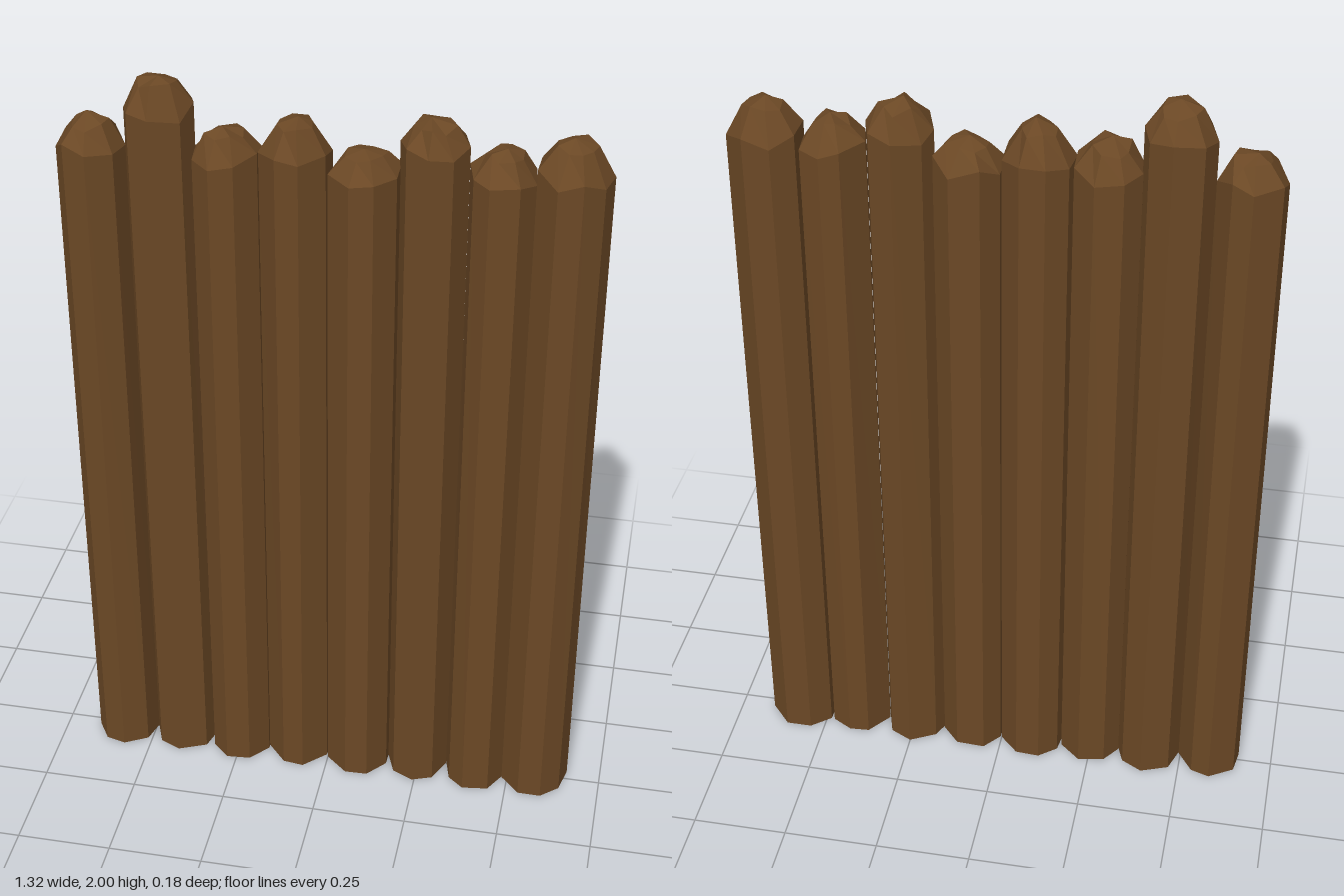
import * as THREE from 'three';

const SIDES = 8;

// Per log: left x, right x, back z, front z, top height, shoulder drop, twist
const LOGS = [
  [-0.66, -0.495, -0.08, 0.09, 1.89, 0.07, 0.15],
  [-0.495, -0.325, -0.093, 0.085, 2.0, 0.08, 0.0],
  [-0.328, -0.168, -0.08, 0.09, 1.89, 0.07, 0.5],
  [-0.17, 0.0, -0.088, 0.085, 1.925, 0.09, 0.3],
  [0.0, 0.165, -0.08, 0.088, 1.86, 0.06, 0.45],
  [0.162, 0.327, -0.093, 0.085, 1.95, 0.075, 0.0],
  [0.325, 0.487, -0.08, 0.09, 1.89, 0.07, 0.55],
  [0.485, 0.66, -0.09, 0.082, 1.925, 0.085, 0.3],
];

function seeded(seed) {
  let s = seed;
  return () => (s = (s * 16807) % 2147483647) / 2147483647;
}

// Faceted log with a rough, rounded tip
function logGeometry([x0, x1, z0, z1, top, drop, twist], seed) {
  const rand = seeded(seed * 7919 + 101);
  const jitter = (amount) => (rand() - 0.5) * amount;
  const profile = [
    [0, 0], [1, 0], [1, top - drop], [0.55, top - drop * 0.25], [0, top],
  ].map(([r, y]) => new THREE.Vector2(r, y));
  const lathe = new THREE.LatheGeometry(profile, SIDES);
  const pos = lathe.attributes.position;
  const rows = profile.length;

  // Hewn irregularity, shared by both ends of each long edge
  const edges = Array.from({ length: SIDES }, () => ({
    angle: jitter(0.22), radius: 1 + jitter(0.08), lean: jitter(0.06),
    shoulder: jitter(0.035), tip: jitter(0.22), tipY: jitter(0.022),
  }));
  const apexX = jitter(0.3), apexZ = jitter(0.3);
  for (let i = 0; i <= SIDES; i++) {
    const e = edges[i % SIDES];
    for (let j = 0; j < rows; j++) {
      const r = profile[j].x * e.radius + (j === 3 ? e.tip : 0);
      const a = ((i % SIDES) / SIDES) * Math.PI * 2 + twist + e.angle + (j === 2 ? e.lean : 0);
      let y = profile[j].y;
      if (j === 2) y += e.shoulder;
      if (j === 3) y += e.tipY;
      const apex = j === 4 ? 1 : 0;
      pos.setXYZ(i * rows + j, Math.sin(a) * r + apex * apexX, y, Math.cos(a) * r + apex * apexZ);
    }
  }

  // Fit the section to its place in the row
  lathe.computeBoundingBox();
  const { min, max } = lathe.boundingBox;
  for (let k = 0; k < pos.count; k++) {
    pos.setX(k, THREE.MathUtils.mapLinear(pos.getX(k), min.x, max.x, x0, x1));
    pos.setZ(k, THREE.MathUtils.mapLinear(pos.getZ(k), min.z, max.z, z0, z1));
    pos.setY(k, Math.min(pos.getY(k), top));
  }
  const flat = lathe.toNonIndexed();
  flat.computeVertexNormals();
  return flat;
}

export function createModel() {
  const group = new THREE.Group();
  group.name = 'logPalisade';
  const wood = new THREE.MeshStandardMaterial({ color: 0x6b4825 });
  wood.name = 'brown wood';

  LOGS.forEach((spec, i) => {
    const log = new THREE.Mesh(logGeometry(spec, i + 1), wood);
    log.name = `log${i + 1}`;
    group.add(log);
  });
  return group;
}
